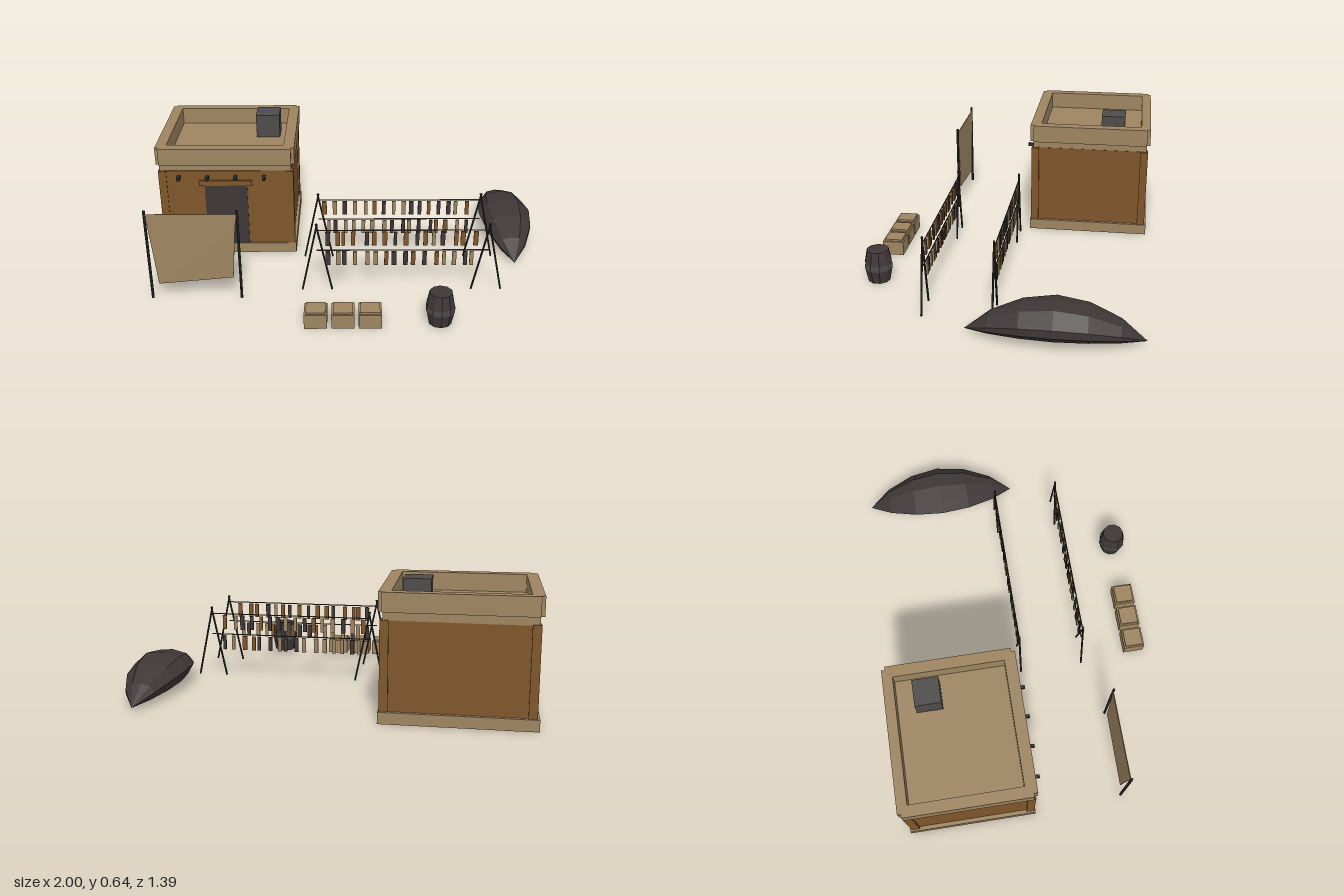
import * as THREE from 'three';

const mat = (name, color, extra = {}) => {
  const m = new THREE.MeshStandardMaterial({ color, flatShading: true, ...extra });
  m.name = name;
  return m;
};
const points = (list) => list.map(([x, y]) => new THREE.Vector2(x, y));

export function createModel() {
  const root = new THREE.Group();
  const tan = mat('tan clay', 0x9e8561);
  const cloth = mat('cloth', 0x9e8561, { side: THREE.DoubleSide });
  const brown = mat('brown wall', 0x7f562a);
  const wood = mat('dark wood', 0x3f3737);
  const grey = mat('grey stone', 0x4d4c4b);
  const black = mat('black pole', 0x2d2b2b);

  const add = (parent, name, geo, m, x = 0, y = 0, z = 0) => {
    const mesh = new THREE.Mesh(geo, m);
    mesh.name = name;
    mesh.position.set(x, y, z);
    parent.add(mesh);
    return mesh;
  };
  // Box given by its two extreme corners
  const box = (parent, name, m, x0, x1, y0, y1, z0, z1) =>
    add(parent, name, new THREE.BoxGeometry(x1 - x0, y1 - y0, z1 - z0), m,
      (x0 + x1) / 2, (y0 + y1) / 2, (z0 + z1) / 2);
  // Round bar between two points
  const bar = (parent, name, a, b, r) => {
    const p = new THREE.Vector3(...a), q = new THREE.Vector3(...b);
    const d = q.clone().sub(p);
    const mesh = add(parent, name, new THREE.CylinderGeometry(r, r, d.length(), 6), black);
    mesh.position.copy(p).add(q).multiplyScalar(0.5);
    mesh.quaternion.setFromUnitVectors(new THREE.Vector3(0, 1, 0), d.normalize());
  };
  const group = (name) => {
    const g = new THREE.Group();
    g.name = name;
    root.add(g);
    return g;
  };

  // House: plinth, walls, corner posts and roof band
  const house = group('house');
  box(house, 'plinth', tan, -1, -0.287, 0, 0.055, -0.685, -0.045);
  box(house, 'walls', brown, -0.98, -0.303, 0.055, 0.475, -0.668, -0.055);
  for (const x of [-0.99, -0.333])
    for (const z of [-0.676, -0.09])
      box(house, 'cornerPost', brown, x, x + 0.04, 0.055, 0.474, z, z + 0.04);
  box(house, 'roofBand', tan, -0.983, -0.305, 0.47, 0.512, -0.668, -0.058);

  // Parapet ring, open in the middle and notched at the corners
  const ring = new THREE.Shape(points([
    [-1, 0.668], [-1, 0.062], [-0.983, 0.062], [-0.983, 0.043], [-0.303, 0.043], [-0.303, 0.062],
    [-0.286, 0.062], [-0.286, 0.668], [-0.303, 0.668], [-0.303, 0.685], [-0.983, 0.685], [-0.983, 0.668]]));
  ring.holes.push(new THREE.Path(points([[-0.945, 0.635], [-0.342, 0.635], [-0.342, 0.1], [-0.945, 0.1]])));
  const ringGeo = new THREE.ExtrudeGeometry(ring, { depth: 0.09, bevelEnabled: false });
  ringGeo.rotateX(-Math.PI / 2);
  add(house, 'parapet', ringGeo, tan, 0, 0.51, 0);
  box(house, 'chimney', grey, -0.51, -0.383, 0.505, 0.64, -0.546, -0.42);

  // Doorway, lintel and protruding roof beams
  box(house, 'door', wood, -0.755, -0.535, 0.055, 0.395, -0.056, -0.05);
  box(house, 'lintel', brown, -0.783, -0.508, 0.395, 0.422, -0.06, -0.044);
  for (const x of [-0.885, -0.738, -0.592, -0.445])
    box(house, 'roofBeam', black, x - 0.008, x + 0.008, 0.434, 0.45, -0.06, -0.016);

  // Cloth screen hung between two poles
  const screen = group('clothScreen');
  for (const x of [-0.972, -0.535])
    bar(screen, 'screenPole', [x, 0, 0.406], [x, 0.48, 0.406], 0.007);
  const sheet = new THREE.Shape(points(
    [[-0.968, 0.46], [-0.962, 0.38], [-0.935, 0.08], [-0.57, 0.115], [-0.548, 0.39], [-0.538, 0.46]]));
  add(screen, 'cloth', new THREE.ExtrudeGeometry(sheet, { depth: 0.004, bevelEnabled: false }), cloth, 0, 0, 0.402);

  // Drying racks with hanging strips
  let seed = 7;
  const rnd = () => (seed = (seed * 16807) % 2147483647) / 2147483647;
  const stripMats = [brown, tan, wood];
  for (const z of [0.002, 0.332]) {
    const rack = group('dryingRack');
    for (const x of [-0.165, 0.677])
      for (const s of [-1, 1])
        bar(rack, 'rackLeg', [x + s * 0.074, 0, z], [x - s * 0.003, 0.368, z], 0.005);
    for (const y of [0.333, 0.223]) {
      bar(rack, 'rackBar', [-0.165, y, z], [0.677, y, z], 0.003);
      for (let i = 0; i < 16; i++) {
        const x = -0.12 + i * 0.0485 + (rnd() - 0.5) * 0.025;
        const w = 0.008 + rnd() * 0.004;
        const m = stripMats[Math.floor(rnd() * 3)];
        box(rack, 'hangingStrip', m, x - w, x + w, y - 0.083, y - 0.008, z - 0.004, z + 0.004);
      }
    }
  }

  // Crates with a slightly inset lid
  for (const x of [-0.165, -0.037, 0.091]) {
    const crate = group('crate');
    box(crate, 'crateBody', tan, x - 0.054, x + 0.054, 0, 0.073, 0.571, 0.679);
    box(crate, 'crateLid', tan, x - 0.046, x + 0.046, 0.073, 0.083, 0.579, 0.671);
  }

  // Barrel with a middle band
  const barrel = group('barrel');
  const staves = points([[0, 0], [0.055, 0], [0.068, 0.065], [0.068, 0.1], [0.055, 0.165], [0, 0.165]]);
  add(barrel, 'barrelBody', new THREE.LatheGeometry(staves, 10), wood, 0.42, 0, 0.623);
  add(barrel, 'barrelBand', new THREE.CylinderGeometry(0.07, 0.07, 0.03, 10, 1, true), grey, 0.42, 0.083, 0.623);

  // Overturned boat: cross-sections tapering to both ends
  const section = [[-0.14, 0.107], [-0.095, 0.166], [-0.01, 0.188], [0.075, 0.18], [0.14, 0.12],
    [0.14, 0.08], [0.085, 0.032], [-0.01, 0.01], [-0.1, 0.037]];
  const stations = [[-1, 0], [-0.72, 0.52], [-0.37, 0.87], [0, 1], [0.37, 0.87], [0.72, 0.52], [1, 0]];
  const pos = [], idx = [], n = section.length;
  stations.forEach(([t, f], i) => {
    section.forEach(([x, y], j) => {
      pos.push(0.86 + x * f, 0.02 + (y - 0.02) * f, -0.293 + t * 0.405);
      if (i === 0) return;
      const a = (i - 1) * n + j, b = (i - 1) * n + (j + 1) % n;
      idx.push(a, b + n, b, a, a + n, b + n);
    });
  });
  const hull = new THREE.BufferGeometry();
  hull.setAttribute('position', new THREE.Float32BufferAttribute(pos, 3));
  hull.setIndex(idx);
  hull.computeVertexNormals();
  add(root, 'boatHull', hull, wood);

  return root;
}
